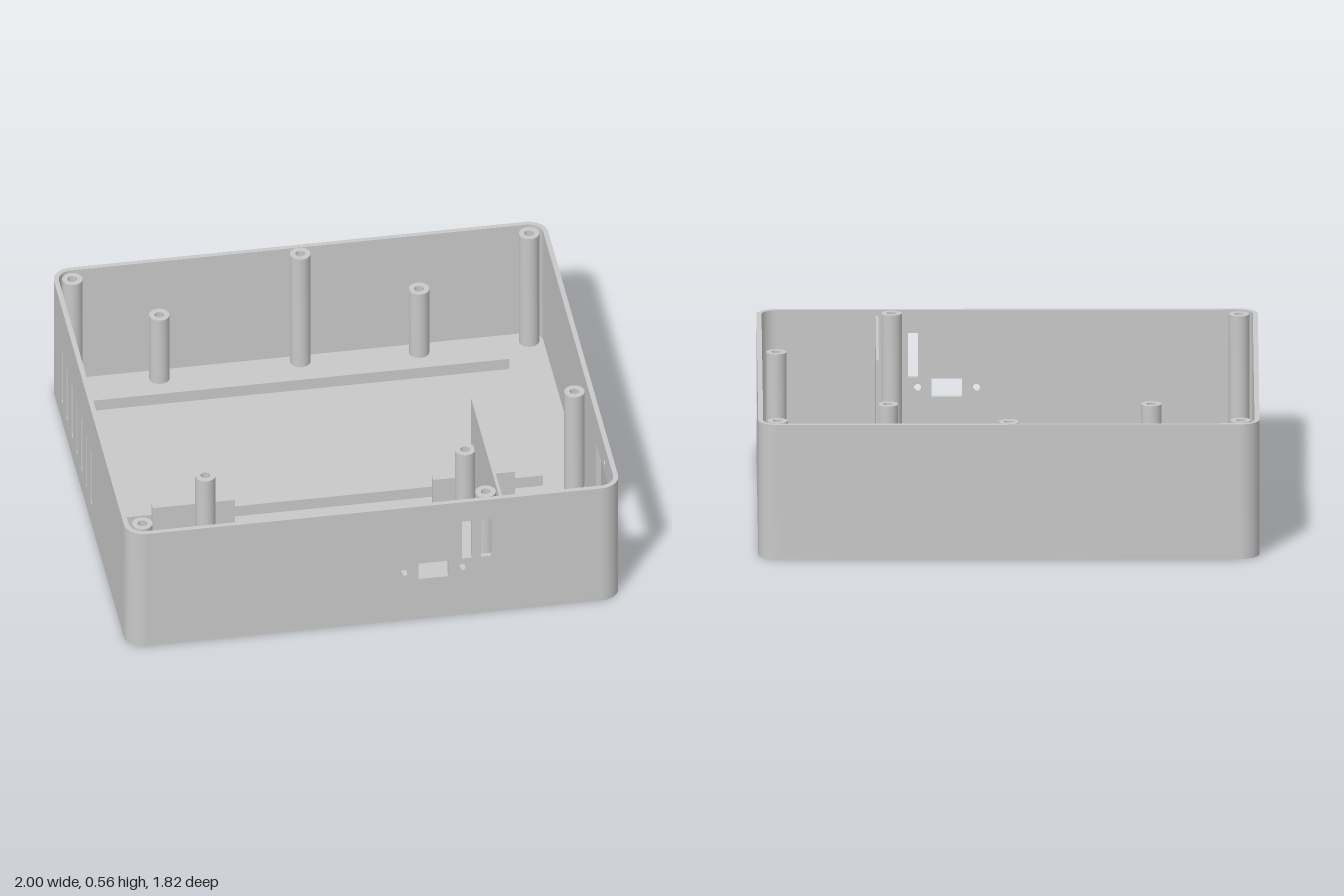
import * as THREE from 'three';
import { toCreasedNormals } from 'three/addons/utils/BufferGeometryUtils.js';

const W = 1, D = 0.911, H = 0.555; // half width, half depth, height
const T = 0.02, R = 0.08;          // wall thickness, corner radius
const RECESS = 0.013;              // foot recess depth

export function createModel() {
  const model = new THREE.Group();
  model.name = 'enclosure';
  const grey = new THREE.MeshStandardMaterial({ color: 0xc8c8c8 });
  grey.name = 'light grey plastic';

  const add = (name, geo, x = 0, y = 0, z = 0) => {
    const mesh = new THREE.Mesh(geo, grey);
    mesh.name = name;
    mesh.position.set(x, y, z);
    model.add(mesh);
    return mesh;
  };
  const extrude = (shape, depth) => toCreasedNormals(
    new THREE.ExtrudeGeometry(shape, { depth, bevelEnabled: false, curveSegments: 12 }), 0.6);
  // extrude a plan shape upward (shape y becomes -z)
  const extrudeUp = (shape, height) => extrude(shape, height).rotateX(-Math.PI / 2);
  const trace = (p, pts) => {
    pts.forEach(([x, y], i) => (i ? p.lineTo(x, y) : p.moveTo(x, y)));
    p.closePath();
    return p;
  };
  const rectPts = (x0, y0, x1, y1) => [[x0, y0], [x1, y0], [x1, y1], [x0, y1]];
  const rect = (...a) => trace(new THREE.Shape(), rectPts(...a));
  const rectHole = (...a) => trace(new THREE.Path(), rectPts(...a));
  const circle = (p, x, y, r) => p.absarc(x, y, r, 0, Math.PI * 2, false);
  const hole = (x, y, r) => circle(new THREE.Path(), x, y, r);
  // block given by its extents
  const block = (name, x0, x1, y0, y1, z0, z1) =>
    add(name, new THREE.BoxGeometry(x1 - x0, y1 - y0, z1 - z0),
      (x0 + x1) / 2, (y0 + y1) / 2, (z0 + z1) / 2);

  // Floor: lower layer with round foot recesses, closed by an upper layer
  const plan = () => {
    const s = new THREE.Shape();
    s.absarc(W - R, D - R, R, 0, Math.PI / 2);
    s.absarc(R - W, D - R, R, Math.PI / 2, Math.PI);
    s.absarc(R - W, R - D, R, Math.PI, Math.PI * 1.5);
    s.absarc(W - R, R - D, R, Math.PI * 1.5, Math.PI * 2);
    s.closePath();
    return s;
  };
  const lower = plan();
  for (const x of [-0.79, 0.79])
    for (const z of [-0.697, 0.697]) lower.holes.push(hole(x, z, 0.085));
  add('floorWithFootRecesses', extrudeUp(lower, RECESS));
  add('floor', extrudeUp(plan(), T - RECESS), 0, RECESS);

  // Wall panels with their openings
  const panel = (half, holes = []) => {
    const s = rect(-half, T, half, H);
    s.holes.push(...holes);
    return extrude(s, T);
  };
  add('frontWall', panel(W - R, [
    rectHole(0.356, 0.277, 0.396, 0.46), rectHole(0.433, 0.277, 0.474, 0.46),
    rectHole(0.179, 0.197, 0.301, 0.273),
    hole(0.122, 0.235, 0.015), hole(0.357, 0.235, 0.015),
  ]), 0, 0, D - T);
  add('backWall', panel(W - R), 0, 0, -D);
  add('leftWall', panel(D - R, [
    rectHole(-0.828, 0.185, -0.424, 0.422),
    hole(-0.628, 0.472, 0.015), hole(-0.628, 0.135, 0.015),
  ]), W - T).rotation.y = Math.PI / 2;
  const vents = [];
  for (let i = 0; i < 7; i++) {
    const z = -0.63 + i * 0.115;
    vents.push(rectHole(z - 0.016, 0.1, z + 0.016, 0.355));
  }
  add('rightVentWall', panel(D - R, vents), T - W).rotation.y = -Math.PI / 2;

  // Rounded wall corners
  const arc = new THREE.Shape();
  arc.absarc(0, 0, R, 0, Math.PI / 2, false);
  arc.absarc(0, 0, R - T, Math.PI / 2, 0, true);
  arc.closePath();
  [[1, -1], [-1, -1], [-1, 1], [1, 1]].forEach(([sx, sz], i) => {
    add('cornerWall', extrudeUp(arc, H - T), sx * (W - R), T, sz * (D - R))
      .rotation.y = i * Math.PI / 2;
  });

  // Hollow screw posts
  const posts = (name, top, r, bore, spots) => {
    const s = circle(new THREE.Shape(), 0, 0, r);
    s.holes.push(hole(0, 0, bore));
    const geo = extrudeUp(s, top - T);
    for (const [x, z] of spots) add(name, geo, x, T, z);
  };
  posts('lidPost', 0.553, 0.041, 0.019, [[-0.925, -0.836], [0, -0.853], [0.923, -0.836],
    [0.923, 0.246], [-0.925, 0.834], [0.461, 0.851]]);
  posts('innerPost', 0.333, 0.041, 0.019, [[-0.573, -0.836], [0.478, -0.836],
    [-0.573, 0.262], [0.478, 0.262]]);
  posts('boardStandoff', 0.09, 0.03, 0.02, [[-0.845, 0.337], [-0.065, 0.337],
    [-0.845, 0.779], [-0.065, 0.779]]);

  // Floor rails, upright plates and divider
  block('backRail', -0.905, 0.815, T, 0.07, -0.726, -0.662);
  block('middleRail', -0.905, 0.815, T, 0.07, 0.071, 0.135);
  block('rightPlate', -0.78, -0.447, T, 0.17, 0.196, 0.226);
  block('leftPlate', 0.355, 0.687, T, 0.17, 0.196, 0.226);
  block('divider', 0.514, 0.526, T, 0.53, 0.196, D - T);

  // Cable tie arches
  for (const [x0, x1, z] of [[0.547, 0.682, 0.277], [0.172, 0.307, 0.751]]) {
    const a = trace(new THREE.Shape(), [[x0, T], [x0 + 0.035, T], [x0 + 0.035, 0.055],
      [x1 - 0.035, 0.055], [x1 - 0.035, T], [x1, T], [x1, 0.085], [x0, 0.085]]);
    add('cableTieArch', extrude(a, 0.032), 0, 0, z);
  }
  return model;
}
